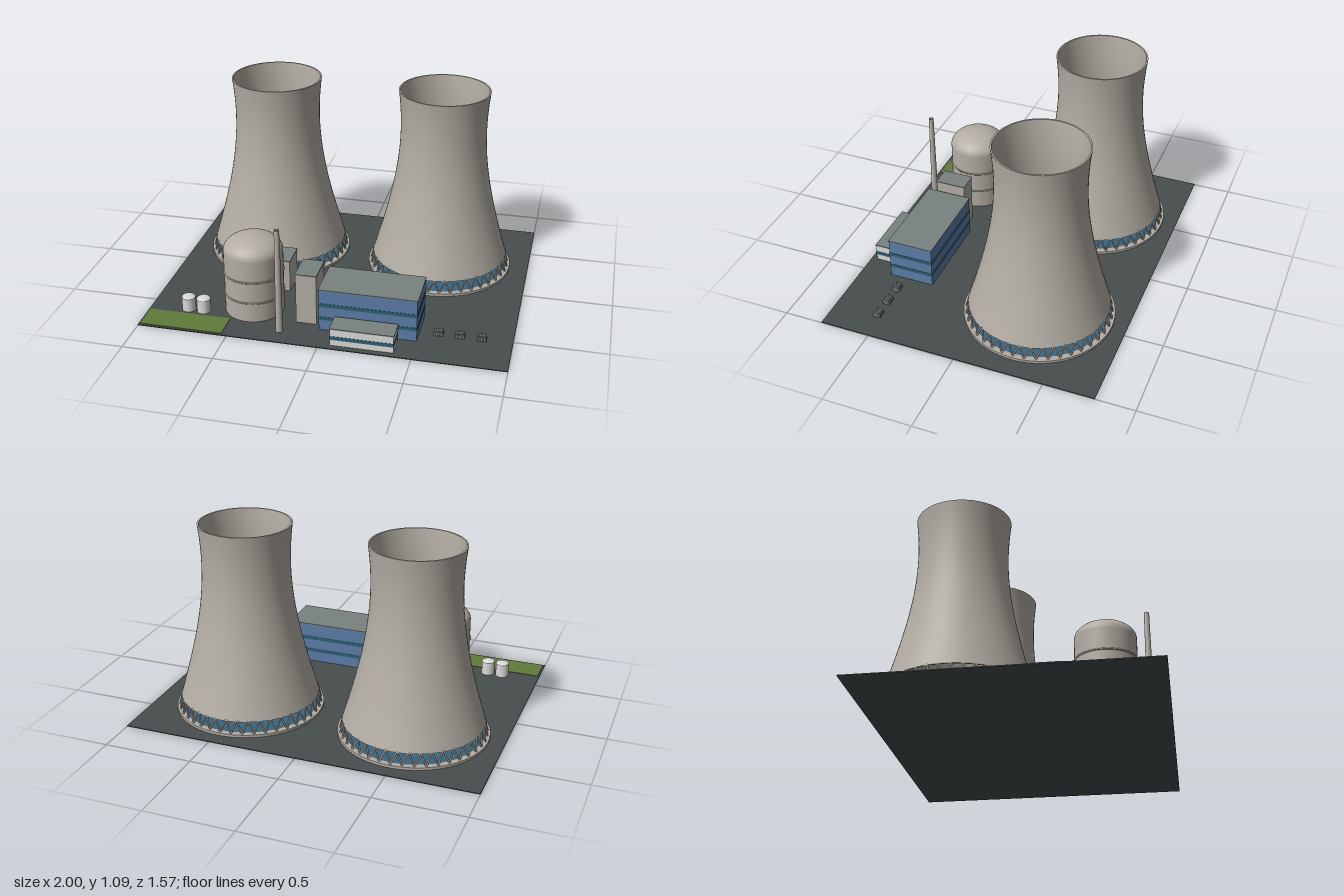
import * as THREE from 'three';
import { mergeGeometries } from 'three/addons/utils/BufferGeometryUtils.js';

const mat = (name, color, side = THREE.FrontSide) => {
  const m = new THREE.MeshStandardMaterial({ color, side });
  m.name = name;
  return m;
};

export function createModel() {
  const asphalt = mat('asphalt', 0x484e4e);
  const concrete = mat('concrete', 0xb3ada4);
  const roofGrey = mat('roof grey', 0x78827f);
  const cladding = mat('blue cladding', 0x5a7ca6);
  const glass = mat('window glass', 0x2c6075);
  const water = mat('water', 0x3a6680);
  const white = mat('white paint', 0xdadad8);
  const grass = mat('grass', 0x5f7c3a);
  const steel = mat('steel', 0x6a7072);

  const model = new THREE.Group();
  model.name = 'powerStation';
  const G = 0.005; // ground level

  const add = (parent, name, geo, material, x = 0, y = 0, z = 0) => {
    const mesh = new THREE.Mesh(geo, material);
    mesh.name = name;
    mesh.position.set(x, y, z);
    parent.add(mesh);
    return mesh;
  };
  const group = (name, x = 0, z = 0) => {
    const g = new THREE.Group();
    g.name = name;
    g.position.set(x, 0, z);
    model.add(g);
    return g;
  };
  // box given by its extents
  const block = (parent, name, material, x0, x1, y0, y1, z0, z1) =>
    add(parent, name, new THREE.BoxGeometry(x1 - x0, y1 - y0, z1 - z0), material,
      (x0 + x1) / 2, (y0 + y1) / 2, (z0 + z1) / 2);
  // turned solid: smooth along each profile, sharp between profiles
  const turned = (profiles, seg = 64) => mergeGeometries(profiles.map((p) =>
    new THREE.LatheGeometry(p.map(([r, y]) => new THREE.Vector2(r, y)), seg)));
  // round bar between two points
  const bar = (a, b, r) => {
    const d = b.clone().sub(a);
    const q = new THREE.Quaternion().setFromUnitVectors(new THREE.Vector3(0, 1, 0), d.clone().normalize());
    const mid = a.clone().add(b).multiplyScalar(0.5);
    return new THREE.CylinderGeometry(r, r, d.length(), 6).applyQuaternion(q).translate(mid.x, mid.y, mid.z);
  };

  // site
  block(model, 'ground', asphalt, -1, 1, 0, G, -0.783, 0.783);
  block(model, 'lawn', grass, -0.99, -0.53, G, G + 0.003, 0.615, 0.77);

  // cooling towers: hyperboloid shell standing on V-shaped columns in a basin
  const y0 = 0.085, y1 = 1.09, wall = 0.009;
  const radius = (y) => 0.243 * Math.sqrt(1 + ((y - 0.87) / 0.625) ** 2);
  const outer = [], inner = [];
  for (let i = 0; i <= 28; i++) {
    const y = y0 + (y1 - y0) * i / 28;
    outer.push([radius(y), y]);
    inner.unshift([radius(y) - wall, y]);
  }
  const shell = turned([outer, [outer[28], inner[0]], inner, [inner[28], outer[0]]]);
  const basin = turned([
    [[0.417, G], [0.417, 0.02]], [[0.417, 0.02], [0.385, 0.02]], [[0.385, 0.02], [0.385, G]],
  ]);
  const bars = [];
  const N = 40;
  const at = (r, y, k) => {
    const a = k / N * Math.PI * 2;
    return new THREE.Vector3(r * Math.sin(a), y, r * Math.cos(a));
  };
  for (let k = 0; k < N; k++) {
    for (const s of [-0.5, 0.5]) bars.push(bar(at(0.402, 0.018, k), at(0.385, 0.09, k + s), 0.005));
  }
  const columns = mergeGeometries(bars);
  for (const [side, x] of [['right', -0.497], ['left', 0.477]]) {
    const tower = group(side + 'CoolingTower', x, -0.288);
    add(tower, 'shell', shell, concrete);
    add(tower, 'basinRim', basin, concrete);
    add(tower, 'columns', columns, concrete);
    add(tower, 'basinWater', new THREE.CylinderGeometry(0.386, 0.386, 0.01, 64), water, 0, 0.012, 0);
  }

  // reactor: cylinder with flattened dome and two hoops
  const reactor = group('reactor', -0.435, 0.46);
  const body = [[0.163, G], [0.163, 0.37]];
  const dome = [];
  for (let i = 0; i <= 14; i++) {
    const a = i / 14 * Math.PI / 2;
    dome.push([i === 14 ? 0 : 0.163 * Math.cos(a), 0.37 + 0.09 * Math.sin(a)]);
  }
  add(reactor, 'containment', turned([body, dome], 48), concrete);
  for (const y of [0.12, 0.245]) {
    add(reactor, 'hoop', new THREE.TorusGeometry(0.164, 0.005, 6, 48).rotateX(Math.PI / 2), concrete, 0, y, 0);
  }

  // vent stack, hollow at the top
  const stack = group('ventStack', -0.235, 0.672);
  add(stack, 'pipe', turned([
    [[0.02, G], [0.014, 0.612]], [[0.014, 0.612], [0.01, 0.612]],
    [[0.01, 0.612], [0.01, 0.55]], [[0.01, 0.55], [0, 0.55]],
  ], 20), concrete);

  // flat-roofed buildings, with optional window bands wrapped round the walls
  const building = (name, material, x0, x1, z0, z1, h, bands = []) => {
    const g = group(name);
    block(g, 'walls', material, x0, x1, G, h - 0.006, z0, z1);
    block(g, 'roof', roofGrey, x0 - 0.003, x1 + 0.003, h - 0.006, h, z0 - 0.003, z1 + 0.003);
    for (const [b0, b1] of bands) {
      block(g, 'windowBand', glass, x0 - 0.002, x1 + 0.002, b0, b1, z0 - 0.002, z1 + 0.002);
    }
  };
  building('auxiliaryBuilding', concrete, -0.583, -0.292, 0.095, 0.252, 0.197);
  building('linkBuilding', concrete, -0.171, -0.057, 0.393, 0.566, 0.302);
  building('turbineHall', cladding, -0.033, 0.5, 0.351, 0.609, 0.25, [[0.066, 0.085], [0.146, 0.166]]);
  building('officeBlock', white, 0.062, 0.402, 0.631, 0.749, 0.108, [[0.04, 0.061]]);

  // storage tanks
  for (const x of [-0.784, -0.698]) {
    add(group('storageTank', x, 0.563), 'tank', turned([
      [[0.038, G], [0.038, 0.082]], [[0.038, 0.082], [0.034, 0.088], [0.018, 0.092], [0, 0.093]],
    ], 32), white);
  }

  // transformers: tank, side radiators and three insulators
  for (const x of [0.604, 0.719, 0.834]) {
    const t = group('transformer', x, 0.52);
    block(t, 'tank', steel, -0.025, 0.025, G, 0.036, -0.014, 0.014);
    for (const s of [-1, 1]) {
      for (const dx of [-0.018, 0, 0.018]) {
        add(t, 'radiator', new THREE.BoxGeometry(0.012, 0.022, 0.008), roofGrey, dx, 0.02, s * 0.018);
      }
    }
    for (const dx of [-0.015, 0, 0.015]) {
      add(t, 'insulator', new THREE.CylinderGeometry(0.003, 0.004, 0.016, 8), white, dx, 0.043, 0);
    }
  }
  return model;
}
